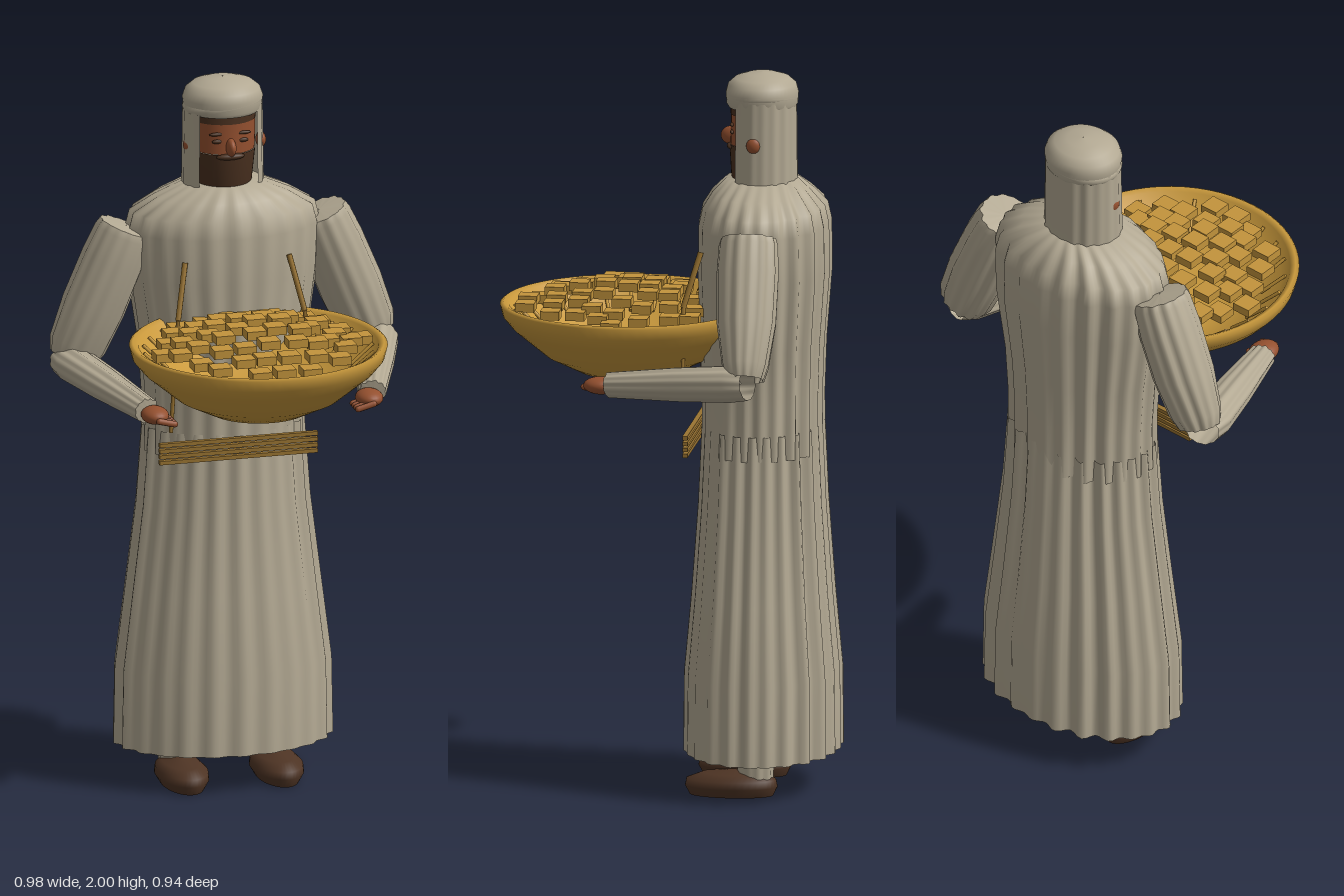
import * as THREE from 'three';

const mat = (name, color, side = THREE.FrontSide) => {
  const m = new THREE.MeshStandardMaterial({ color, side });
  m.name = name;
  return m;
};

// Surface through elliptical rows [y, rx, rz, cz], bottom to top, with soft vertical folds
function loft(rows, { folds = 0, amp = 0, seg = 96, open = 0 } = {}) {
  const pos = [], idx = [], cols = open ? seg + 1 : seg;
  rows.forEach(([y, rx, rz, cz = 0, k = 1]) => {
    for (let j = 0; j < cols; j++) {
      const a = open + (j / seg) * (Math.PI * 2 - 2 * open);
      const f = amp * k * (Math.cos(a * folds) + 0.5 * Math.sin(a * (folds - 5) + 1)) * (0.8 - 0.35 * Math.cos(a));
      pos.push((rx + f) * Math.sin(a), y, cz + (rz + f) * Math.cos(a));
    }
  });
  for (let i = 0; i < rows.length - 1; i++) {
    for (let j = 0; j < seg; j++) {
      const n = (j + 1) % cols;
      const a = i * cols + j, b = i * cols + n, c = a + cols, d = b + cols;
      idx.push(a, b, d, a, d, c);
    }
  }
  const g = new THREE.BufferGeometry();
  g.setAttribute('position', new THREE.Float32BufferAttribute(pos, 3));
  g.setIndex(idx);
  g.computeVertexNormals();
  return g;
}

export function createModel() {
  const root = new THREE.Group();
  root.name = 'trayBearer';
  const cloth = mat('beige cloth', 0xb3a993, THREE.DoubleSide);
  const skin = mat('brown skin', 0x94502f);
  const hair = mat('dark hair', 0x49301f);
  const leather = mat('shoe leather', 0x4e3424);
  const gold = mat('golden tray', 0xc9993c);
  const sweets = mat('golden pieces', 0xc3943c);
  const cord = mat('dark gold cord', 0x9a7432);

  const add = (name, geo, material, parent = root) => {
    const m = new THREE.Mesh(geo, material);
    m.name = name;
    parent.add(m);
    return m;
  };
  const ball = (name, material, p, s, parent = root) => {
    const m = add(name, new THREE.SphereGeometry(1, 24, 16), material, parent);
    m.position.set(...p);
    m.scale.set(...s);
    return m;
  };
  // Rod or sleeve running from one point to another
  const between = (mesh, from, to) => {
    const a = new THREE.Vector3(...from), d = new THREE.Vector3(...to).sub(a);
    mesh.position.copy(a);
    mesh.quaternion.setFromUnitVectors(new THREE.Vector3(0, 1, 0), d.normalize());
    return mesh;
  };
  const dist = (a, b) => Math.hypot(a[0] - b[0], a[1] - b[1], a[2] - b[2]);
  const rod = (name, material, from, to, r, parent = root) => {
    const l = dist(from, to);
    return between(add(name, new THREE.CylinderGeometry(r, r, l, 8).translate(0, l / 2, 0), material, parent), from, to);
  };

  // Robe: pleated skirt and a torso overlapping it at the waist
  add('skirt', loft([
    [0.11, 0.302, 0.212, -0.25], [0.33, 0.298, 0.21, -0.25], [0.55, 0.27, 0.19, -0.25],
    [0.8, 0.238, 0.172, -0.25], [1.02, 0.222, 0.162, -0.25],
  ], { folds: 24, amp: 0.008, seg: 144 }), cloth);
  add('torso', loft([
    [0.95, 0.222, 0.163, -0.25, 1.2], [1.1, 0.222, 0.163, -0.25], [1.25, 0.232, 0.168, -0.25],
    [1.45, 0.262, 0.178, -0.255], [1.58, 0.268, 0.176, -0.255], [1.63, 0.255, 0.165, -0.255],
    [1.67, 0.19, 0.135, -0.25, 0.8], [1.705, 0.11, 0.1, -0.25, 0.4], [1.71, 0.02, 0.02, -0.25, 0],
  ], { folds: 22, amp: 0.006, seg: 144 }), cloth);

  // Head with hair, face and beard bands
  const head = new THREE.Group();
  head.name = 'head';
  root.add(head);
  add('beard', loft([
    [1.68, 0.07, 0.07, -0.25], [1.71, 0.08, 0.085, -0.25], [1.8, 0.09, 0.09, -0.25],
  ], { seg: 40 }), hair, head);
  add('face', loft([[1.8, 0.088, 0.087, -0.25], [1.84, 0.09, 0.086, -0.25], [1.885, 0.09, 0.085, -0.25]], { seg: 40 }), skin, head);
  add('hairline', loft([[1.885, 0.091, 0.087, -0.25], [1.94, 0.09, 0.085, -0.25]], { seg: 40 }), hair, head);
  ball('nose', skin, [0, 1.82, -0.165], [0.014, 0.026, 0.03], head);
  ball('moustache', hair, [0, 1.793, -0.168], [0.04, 0.01, 0.015], head);
  for (const s of [-1, 1]) {
    ball('ear', skin, [s > 0 ? 0.106 : -0.1, 1.813, -0.24], [0.014, 0.022, 0.02], head);
    ball('eye', hair, [s * 0.036, 1.837, -0.172], [0.016, 0.006, 0.006], head);
    ball('eyebrow', hair, [s * 0.038, 1.858, -0.172], [0.022, 0.005, 0.006], head);
  }

  // Head cloth open at the front, with a rounded cap and slanted roll
  add('headCloth', loft([
    [1.67, 0.114, 0.097, -0.25], [1.8, 0.112, 0.095, -0.25], [1.93, 0.11, 0.094, -0.25],
  ], { open: 0.83, folds: 18, amp: 0.0015, seg: 72 }), cloth, head);
  add('cap', loft([
    [1.905, 0.1, 0.092, -0.25], [1.915, 0.108, 0.098, -0.25], [1.945, 0.112, 0.1, -0.25],
    [1.968, 0.104, 0.094, -0.25], [1.985, 0.083, 0.075, -0.25], [1.996, 0.046, 0.042, -0.25], [2, 0.001, 0.001, -0.25],
  ], { seg: 48 }), cloth, head);
  const roll = add('capRoll', new THREE.TorusGeometry(0.095, 0.018, 12, 48).rotateX(Math.PI / 2), cloth, head);
  roll.position.set(0, 1.931, -0.25);
  roll.scale.z = 0.88;
  roll.rotation.z = 0.12;

  for (const s of [-1, 1]) {
    const arm = new THREE.Group();
    arm.name = s > 0 ? 'leftArm' : 'rightArm';
    root.add(arm);
    // Upper sleeve with a flat shoulder end
    const shoulder = [s * 0.275, 1.59, -0.25], elbow = [s * 0.425, 1.225, -0.26];
    const L = dist(shoulder, elbow);
    between(add('upperSleeve', loft([
      [0, 0.065, 0.05], [L * 0.1, 0.08, 0.062], [L * 0.4, 0.088, 0.08], [L * 0.75, 0.086, 0.084],
      [L * 0.95, 0.08, 0.08], [L, 0.074, 0.074], [L, 0.074, 0.074], [L + 0.004, 0.001, 0.001, 0, 0],
    ], { folds: 14, amp: 0.003, seg: 72 }), cloth, arm), elbow, shoulder);
    // Forearm sleeve
    const back = [s * 0.442, 1.218, -0.27], wrist = [s * 0.32, 1.178, 0.13];
    const F = dist(back, wrist);
    between(add('forearmSleeve', loft([
      [0, 0.05, 0.045], [F * 0.12, 0.064, 0.05], [F * 0.5, 0.056, 0.046], [F, 0.038, 0.034],
      [F, 0.038, 0.034], [F + 0.002, 0.001, 0.001, 0, 0],
    ], { folds: 12, amp: 0.002, seg: 60 }), cloth, arm), back, wrist);
    // Hand gripping the tray
    ball('palm', skin, [s * 0.305, 1.173, 0.155], [0.038, 0.024, 0.048], arm);
    for (let i = 0; i < 4; i++) {
      const f = add('finger', new THREE.CapsuleGeometry(0.009, 0.045, 4, 8).rotateZ(Math.PI / 2), skin, arm);
      f.position.set(s * 0.283, 1.162, 0.145 + i * 0.019);
      f.rotation.z = s * 0.25;
    }
    // Leg and shoe
    const leg = add('trouserLeg', loft([[0.05, 0.045, 0.048], [0.2, 0.055, 0.055], [0.6, 0.075, 0.07]],
      { folds: 10, amp: 0.002, seg: 48 }), cloth);
    leg.position.set(s * 0.135, 0, -0.25);
    const shoe = add('shoe', loft([
      [0, 0.001, 0.001], [0, 0.055, 0.115], [0, 0.055, 0.115], [0.025, 0.07, 0.128], [0.045, 0.068, 0.124],
      [0.062, 0.05, 0.09, -0.01], [0.072, 0.001, 0.001, -0.015],
    ], { seg: 40 }), leather);
    shoe.position.set(s * 0.135, 0, -0.183);
    // Shoulder cord passing behind the tray
    const low = [s * 0.2, s < 0 ? 1.05 : 1.2, -0.058], mid = [s * 0.18, 1.37, -0.056];
    rod('cord', cord, low, mid, 0.006);
    rod('cordEnd', cord, mid, [s * 0.148, 1.52, -0.1], 0.008);
  }

  // Belt of four flat cords
  for (let i = 0; i < 4; i++) {
    const b = add('beltCord', new THREE.BoxGeometry(0.45, 0.011, 0.014), cord);
    b.position.set(-0.006, 0.963 + i * 0.0165, -0.066);
  }

  // Tray bowl
  const tray = new THREE.Group();
  tray.name = 'tray';
  tray.position.z = 0.118;
  root.add(tray);
  const profile = [
    [0, 1.155], [0.14, 1.155], [0.23, 1.2], [0.32, 1.275], [0.347, 1.308], [0.355, 1.34], [0.345, 1.347],
    [0.33, 1.34], [0.305, 1.295], [0.21, 1.225], [0.12, 1.195], [0, 1.19],
  ].map(([r, y]) => new THREE.Vector2(r, y));
  add('bowl', new THREE.LatheGeometry(profile, 64), gold, tray);
  // Ribs on the inside wall
  for (let i = 0; i < 26; i++) {
    const a = (i / 26) * Math.PI * 2, c = Math.sin(a), d = Math.cos(a);
    rod('rib', gold, [c * 0.25, 1.265, d * 0.25], [c * 0.318, 1.328, d * 0.318], 0.005, tray);
  }
  // Heap of square pieces, highest in the middle
  let seed = 7;
  const rnd = () => (seed = (seed * 16807) % 2147483647) / 2147483647 - 0.5;
  const piece = new THREE.BoxGeometry(0.055, 0.024, 0.053);
  for (let row = -4; row <= 4; row++) {
    for (let col = -4; col <= 4; col++) {
      const x = (col + (row % 2 ? 0.5 : 0)) * 0.07, z = row * 0.066, r = Math.hypot(x, z);
      if (r > 0.285) continue;
      const p = add('sweetPiece', piece, sweets, tray);
      p.position.set(x + rnd() * 0.02, 1.405 - 0.075 * (r / 0.285) ** 1.5 + rnd() * 0.012, z + rnd() * 0.03);
    }
  }
  return root;
}
